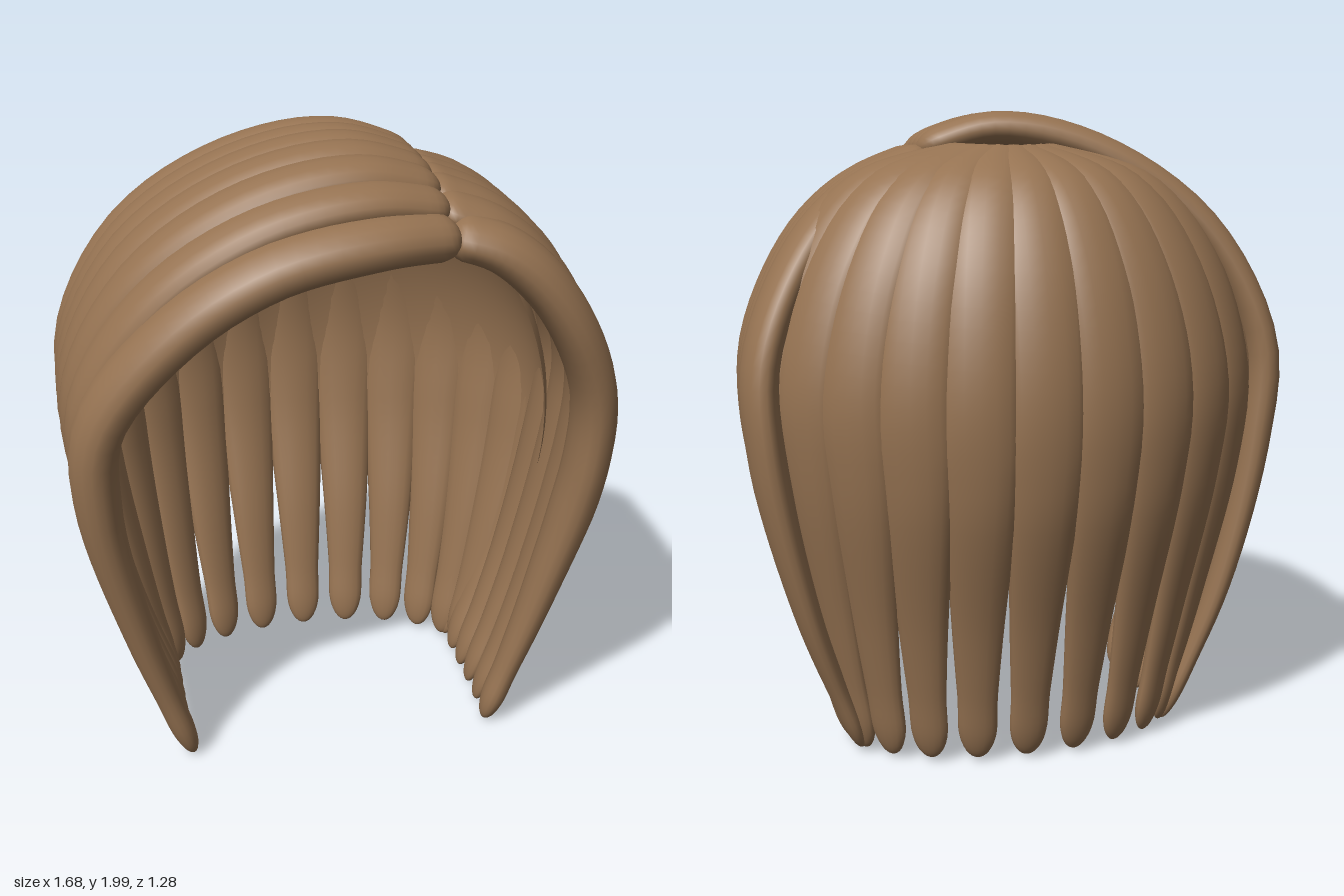
import * as THREE from 'three';

const hair = new THREE.MeshStandardMaterial({ color: 0x967352 });
hair.name = 'brown hair';
const hairInside = hair.clone();
hairInside.name = 'brown hair lining';
hairInside.side = THREE.DoubleSide;

const V = (x, y, z) => new THREE.Vector3(x, y, z);
const mix = THREE.MathUtils.lerp;

// Width along a lock: blunt rounded root, full middle, long taper, round tip
function taper(u) {
  let w = u < 0.25 ? mix(0.8, 1, u / 0.25) : 1;
  if (u > 0.5) w = mix(1, 0.52, Math.min(1, (u - 0.5) / 0.4));
  if (u < 0.03) w *= Math.sqrt(Math.max(0, 1 - ((0.03 - u) / 0.03) ** 2));
  if (u > 0.94) w *= Math.sqrt(Math.max(0, 1 - ((u - 0.94) / 0.06) ** 2));
  return Math.max(w, 0.002);
}

// A lock: flattened oval swept along a curve, lying flat on the head.
// kx and kz weight how far its face turns sideways and forward.
function lock(name, points, width, thick, kx, kz) {
  const curve = new THREE.CatmullRomCurve3(points, false, 'centripetal');
  const rows = 56, sides = 16, pos = [], index = [];
  for (let i = 0; i <= rows; i++) {
    // rows crowd together at both ends to keep them round
    const u = 0.5 - 0.5 * Math.cos((Math.PI * i) / rows);
    const p = curve.getPointAt(u), t = curve.getTangentAt(u);
    const n = V(p.x * kx, Math.max(0, p.y - 1), p.z * kz);
    n.addScaledVector(t, -n.dot(t)).normalize();
    const b = t.clone().cross(n);
    const w = taper(u), h = thick * Math.min(1, w * 1.1);
    for (let j = 0; j < sides; j++) {
      const a = (j / sides) * Math.PI * 2;
      const q = p.clone().addScaledVector(b, Math.cos(a) * width * w).addScaledVector(n, Math.sin(a) * h);
      pos.push(q.x, q.y, q.z);
      if (i < rows) {
        const k = i * sides + j, l = i * sides + ((j + 1) % sides);
        index.push(k, k + sides, l, l, k + sides, l + sides);
      }
    }
  }
  const g = new THREE.BufferGeometry();
  g.setAttribute('position', new THREE.Float32BufferAttribute(pos, 3));
  g.setIndex(index);
  g.computeVertexNormals();
  const mesh = new THREE.Mesh(g, hair);
  mesh.name = name;
  return mesh;
}

// Locks combed sideways from the parting: blend from a front path to a rear path
function sideLocks(name, front, rear, count, width) {
  const group = new THREE.Group();
  group.name = name;
  for (let i = 0; i < count; i++) {
    const t = i / (count - 1), s = 1 - (1 - t) ** 4;
    const pts = front.map((f, k) =>
      V(mix(f[0], rear[k][0], s), mix(f[1], rear[k][1], s), mix(f[2], rear[k][2], t)));
    group.add(lock(name + 'Lock', pts, width, i === 0 ? 0.07 : 0.055, 1, 0.4));
  }
  return group;
}

export function createModel() {
  const model = new THREE.Group();
  model.name = 'hair';

  // Right side, including the fringe swept across the forehead
  model.add(sideLocks('rightSide',
    [[0.29, 1.76, 0.46], [0.05, 1.77, 0.53], [-0.25, 1.71, 0.54], [-0.5, 1.55, 0.51],
      [-0.72, 1.26, 0.44], [-0.74, 1.0, 0.41], [-0.64, 0.5, 0.35], [-0.49, 0.01, 0.31]],
    [[0.27, 1.88, 0.0], [0.02, 1.945, -0.03], [-0.3, 1.87, -0.09], [-0.6, 1.65, -0.18],
      [-0.775, 1.3, -0.25], [-0.765, 1.0, -0.27], [-0.665, 0.5, -0.26], [-0.5, 0.02, -0.2]],
    7, 0.1));

  // Left side, falling straight from the parting
  model.add(sideLocks('leftSide',
    [[0.27, 1.76, 0.43], [0.43, 1.71, 0.46], [0.59, 1.56, 0.46], [0.74, 1.27, 0.42],
      [0.755, 1.0, 0.39], [0.65, 0.5, 0.34], [0.5, 0.01, 0.31]],
    [[0.23, 1.87, 0.03], [0.45, 1.77, -0.04], [0.63, 1.6, -0.13], [0.775, 1.28, -0.24],
      [0.77, 1.0, -0.27], [0.665, 0.5, -0.26], [0.5, 0.02, -0.2]],
    6, 0.115));

  // Back locks fanning out from the crown
  const back = new THREE.Group();
  back.name = 'back';
  const profile = [[0.62, 1.76], [0.86, 1.55], [1, 1.22], [0.97, 0.9]];
  for (let i = -5; i <= 5; i++) {
    const a = THREE.MathUtils.degToRad(i * 14);
    const sx = Math.sin(a) * 0.78, sz = -Math.cos(a) * 0.585;
    const tx = 0.52 * Math.sin(a * 1.25), tz = -0.37 * Math.cos(a);
    back.add(lock('backLock', [
      V(sx * 0.15, 1.87, -0.06 + sz * 0.1),
      ...profile.map(([r, y]) => V(sx * r, y, sz * r)),
      V(mix(sx, tx, 0.52), 0.45, mix(sz, tz, 0.6)),
      V(tx, 0.02, tz),
    ], 0.118, 0.055, 0.6, 1));
  }
  model.add(back);

  // Smooth lining under the locks, open at the face
  const cap = new THREE.Mesh(
    new THREE.SphereGeometry(1, 48, 24, Math.PI - 0.4, Math.PI + 0.8, 0, 1.75), hairInside);
  cap.name = 'lining';
  cap.scale.set(0.735, 0.82, 0.55);
  cap.position.set(0, 1.05, 0);
  model.add(cap);

  return model;
}
